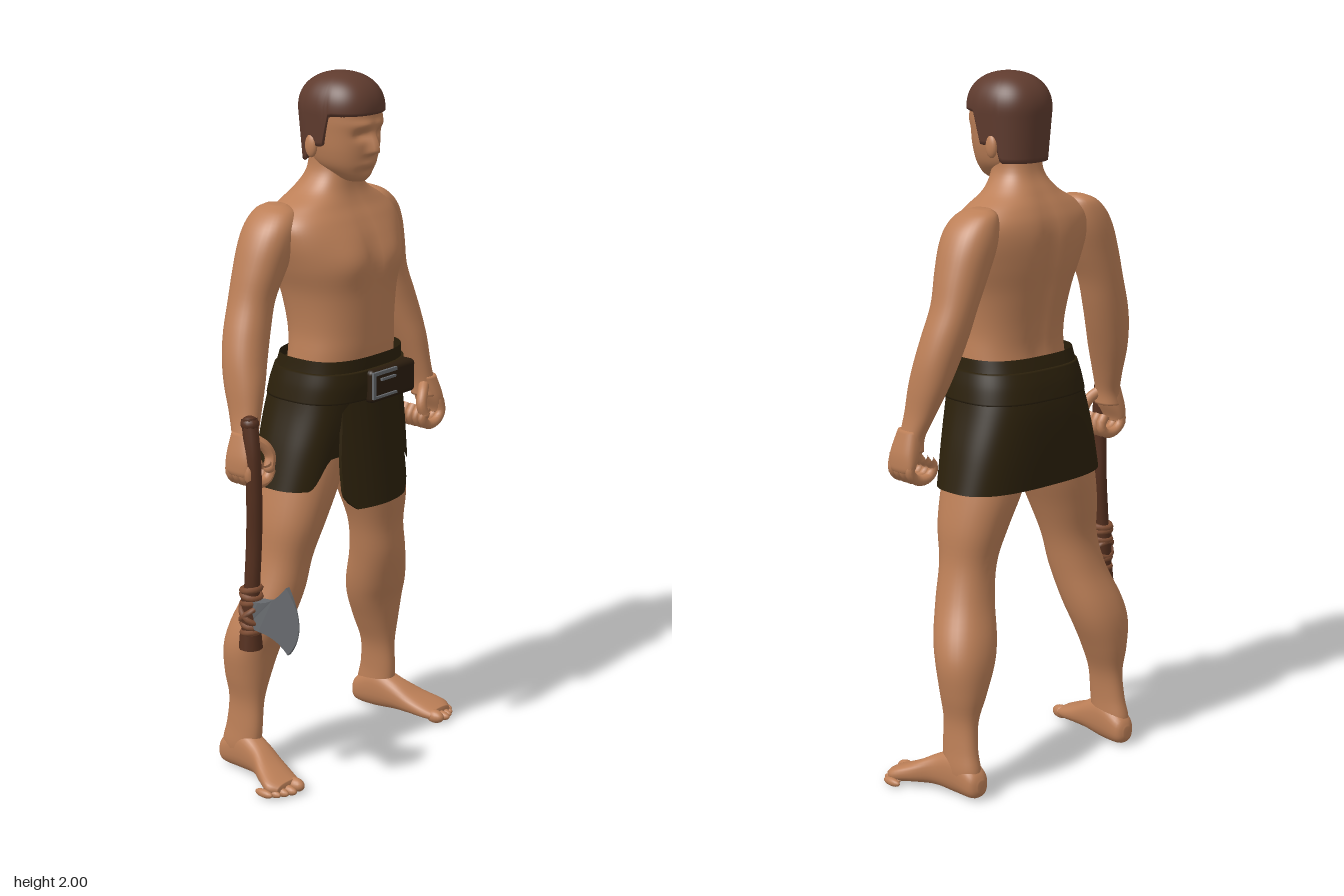
import * as THREE from 'three';
import { RoundedBoxGeometry } from 'three/addons/geometries/RoundedBoxGeometry.js';

const mat = (name, color, side = THREE.FrontSide) => {
  const m = new THREE.MeshStandardMaterial({ color, side });
  m.name = name;
  return m;
};
const gauss = (d, w) => Math.exp(-(d * d) / (w * w));
const spow = (c, n) => Math.sign(c) * Math.pow(Math.abs(c), 2 / n);
const lerp = THREE.MathUtils.lerp, smooth = THREE.MathUtils.smoothstep;

// Closed ring surface: fn(angle, v) gives a point; ends may be capped
function grid(nu, nv, fn, cap = true) {
  const pos = [], idx = [];
  for (let j = 0; j <= nv; j++)
    for (let i = 0; i < nu; i++) pos.push(...fn((i / nu) * Math.PI * 2, j / nv));
  for (let j = 0; j < nv; j++)
    for (let i = 0; i < nu; i++) {
      const a = j * nu + i, b = j * nu + ((i + 1) % nu);
      idx.push(a, b, b + nu, a, b + nu, a + nu);
    }
  if (cap) for (const j of [0, nv]) {
    const c = [0, 0, 0], k = pos.length / 3;
    for (let i = 0; i < nu; i++) for (let d = 0; d < 3; d++) c[d] += pos[(j * nu + i) * 3 + d] / nu;
    pos.push(...c);
    for (let i = 0; i < nu; i++) {
      const a = j * nu + i, b = j * nu + ((i + 1) % nu);
      idx.push(...(j ? [a, b, k] : [b, a, k]));
    }
  }
  const g = new THREE.BufferGeometry();
  g.setAttribute('position', new THREE.Float32BufferAttribute(pos, 3));
  g.setIndex(idx);
  g.computeVertexNormals();
  return g;
}

// Smooth value between section rows
function sample(rows, v) {
  const f = v * (rows.length - 1), i = Math.min(Math.floor(f), rows.length - 2), t = f - i;
  const at = k => rows[Math.max(0, Math.min(rows.length - 1, k))];
  return rows[0].map((_, c) => {
    const [p, q, r, s] = [at(i - 1)[c], at(i)[c], at(i + 1)[c], at(i + 2)[c]];
    return q + 0.5 * t * (r - p + t * (2 * p - 5 * q + 4 * r - s + t * (3 * (q - r) + s - p)));
  });
}

// Upright loft, rows are [y, xMin, xMax, zBack, zFront] from low to high
function loft(rows, { n = 2.3, nu = 32, nv = rows.length * 4, mod = p => p, cap = true } = {}) {
  return grid(nu, nv, (a, v) => {
    const [y, x0, x1, z0, z1] = sample(rows, v);
    return mod([(x0 + x1) / 2 + (x1 - x0) / 2 * spow(Math.cos(a), n), y,
      (z0 + z1) / 2 - (z1 - z0) / 2 * spow(Math.sin(a), n)], v);
  }, cap);
}
const sym = rows => rows.map(([y, w, b, f]) => [y, -w, w, b, f]);

function mirror(g) {
  const m = g.clone().scale(-1, 1, 1), ix = m.index.array;
  for (let i = 0; i < ix.length; i += 3) [ix[i], ix[i + 1]] = [ix[i + 1], ix[i]];
  m.computeVertexNormals();
  return m;
}
const V = (x, y, z) => new THREE.Vector3(x, y, z);
const tube = (pts, r, seg = 16, rad = 10) =>
  new THREE.TubeGeometry(new THREE.CatmullRomCurve3(pts), seg, r, rad);
const ball = (x, y, z, a, b, c) => new THREE.SphereGeometry(1, 16, 12).scale(a, b, c).translate(x, y, z);

export function createModel() {
  const skin = mat('skin', 0xbc7f57), hairMat = mat('hair', 0x5f3b2e);
  const hide = mat('hide', 0x2b200b, THREE.DoubleSide), leather = mat('leather', 0x2a1c0e);
  const wood = mat('wood', 0x55301f), cord = mat('cord', 0x7d4c32), steel = mat('steel', 0x676a6e);
  const model = new THREE.Group();
  const add = (name, g, m) => {
    const mesh = new THREE.Mesh(g, m);
    mesh.name = name;
    model.add(mesh);
    return mesh;
  };
  const pair = (name, g, m) => {
    add('left' + name, g, m);
    add('right' + name, mirror(g), m);
  };

  // Torso and neck, with chest muscles and a groove along the spine
  add('torso', loft(sym([
    [0.85, 0.09, -0.1, 0.04], [0.95, 0.16, -0.15, 0.08], [1.1, 0.17, -0.145, 0.1], [1.22, 0.163, -0.125, 0.12],
    [1.3, 0.158, -0.13, 0.125], [1.4, 0.172, -0.15, 0.128], [1.48, 0.2, -0.166, 0.128], [1.55, 0.22, -0.172, 0.108],
    [1.6, 0.218, -0.166, 0.083], [1.64, 0.175, -0.15, 0.058], [1.68, 0.108, -0.127, 0.042],
    [1.73, 0.07, -0.1, 0.036], [1.8, 0.066, -0.09, 0.03]]), {
    nu: 64, nv: 64, n: 2.35, mod: ([x, y, z]) => {
      if (z > 0) z += 0.012 * gauss(Math.abs(x) - 0.085, 0.06) * gauss(y - 1.5, 0.06) - 0.008 * gauss(x, 0.02) * gauss(y - 1.45, 0.16);
      else z += 0.018 * gauss(x, 0.03) * gauss(y - 1.42, 0.2);
      return [x, y, z];
    } }), skin);

  // Head with brow, eye sockets, nose, lips and chin
  add('head', loft(sym([
    [1.705, 0.022, 0.02, 0.078], [1.72, 0.045, -0.02, 0.09], [1.75, 0.07, -0.07, 0.1], [1.79, 0.083, -0.09, 0.108],
    [1.84, 0.09, -0.1, 0.113], [1.88, 0.094, -0.105, 0.115], [1.92, 0.093, -0.105, 0.11], [1.96, 0.07, -0.07, 0.08]]), {
    nu: 72, nv: 56, mod: ([x, y, z]) => {
      if (z > 0.03) {
        const ridge = smooth(y, 1.778, 1.792) * (1 - smooth(y, 1.79, 1.865));
        z += 0.03 * ridge * gauss(x, 0.015) + 0.006 * gauss(x, 0.03) * gauss(y - 1.755, 0.012);
        z += 0.007 * gauss(y - 1.866, 0.012) * gauss(Math.abs(x) - 0.03, 0.035);
        z -= 0.013 * gauss(Math.abs(x) - 0.036, 0.02) * gauss(y - 1.838, 0.014);
        z -= 0.005 * gauss(x, 0.03) * gauss(y - 1.738, 0.01);
      }
      return [x, y, z];
    } }), skin);
  pair('Ear', ball(0.094, 1.803, -0.028, 0.012, 0.032, 0.02), skin);

  // Hair cap with a high forehead line, sideburns and a low nape
  add('hair', grid(72, 28, (a, v) => {
    const c = spow(Math.cos(a), 2.3), s = -spow(Math.sin(a), 2.3), zd = s * 0.12;
    let low = lerp(1.805, 1.895, smooth(zd, 0.012, 0.04));
    low = lerp(low, 1.758, smooth(-zd, 0.045, 0.06));
    const y = lerp(low, 2, Math.sin(v * Math.PI / 2));
    const h = Math.max(0, (y - 1.9) / 0.1);
    const r = y > 1.9 ? Math.pow(Math.max(0, 1 - Math.pow(h, 2.2)), 1 / 2.2) : 1 - 0.1 * (1.9 - y) / 0.14;
    return [c * 0.105 * r, y, s * 0.121 * r];
  }), hairMat);

  // Arms
  pair('Arm', loft([
    [1.0, 0.352, 0.425, -0.055, 0.03], [1.04, 0.35, 0.412, -0.055, 0.022], [1.1, 0.33, 0.4, -0.078, 0.018],
    [1.18, 0.298, 0.396, -0.108, 0.012], [1.25, 0.27, 0.388, -0.125, 0.0], [1.32, 0.245, 0.37, -0.137, -0.01],
    [1.4, 0.218, 0.342, -0.145, -0.016], [1.48, 0.18, 0.322, -0.15, -0.004], [1.55, 0.15, 0.3, -0.153, 0.006],
    [1.6, 0.14, 0.273, -0.148, 0.004], [1.635, 0.145, 0.235, -0.135, -0.015], [1.65, 0.16, 0.2, -0.11, -0.05]],
  { nu: 32, nv: 48, n: 2.2 }), skin);

  // Half-closed hands: palm, four curled fingers and a thumb
  pair('Palm', loft([[0.945, 0.396, 0.426, -0.048, 0.03], [0.96, 0.392, 0.43, -0.056, 0.036],
    [1.0, 0.372, 0.428, -0.056, 0.036], [1.06, 0.352, 0.412, -0.05, 0.022]], { n: 2.8 }), skin);
  [-0.042, -0.018, 0.006, 0.028].forEach((z, i) => {
    pair('Finger' + (i + 1), tube([V(0.405, 0.99, z), V(0.412, 0.945, z), V(0.385, 0.92, z), V(0.345, 0.922, z),
      V(0.328, 0.948, z), V(0.345, 0.972, z)], 0.0145), skin);
  });
  pair('Thumb', tube([V(0.37, 1.04, 0), V(0.34, 1.015, 0.018), V(0.326, 0.985, 0.026), V(0.335, 0.955, 0.03)], 0.016), skin);
  pair('ThumbTip', ball(0.335, 0.955, 0.03, 0.016, 0.016, 0.016), skin);

  // Legs
  pair('Leg', loft([
    [0.03, 0.265, 0.33, -0.18, -0.06], [0.08, 0.262, 0.335, -0.186, -0.055], [0.14, 0.262, 0.33, -0.172, -0.05],
    [0.22, 0.252, 0.328, -0.165, -0.05], [0.3, 0.22, 0.343, -0.177, -0.04], [0.38, 0.185, 0.352, -0.18, -0.025],
    [0.45, 0.163, 0.34, -0.168, 0.0], [0.55, 0.143, 0.302, -0.135, 0.028], [0.65, 0.122, 0.276, -0.122, 0.04],
    [0.75, 0.085, 0.268, -0.14, 0.065], [0.85, 0.04, 0.248, -0.157, 0.08], [0.95, 0.005, 0.222, -0.16, 0.085],
    [1.05, 0.005, 0.18, -0.14, 0.08]], { nu: 32, nv: 56, n: 2.2 }), skin);

  // Feet, rows are [z, xMin, xMax, yMin, yMax] from heel to toes
  const footRows = [[-0.197, 0.28, 0.308, 0.025, 0.06], [-0.178, 0.26, 0.33, 0.006, 0.09], [-0.11, 0.258, 0.336, 0.004, 0.13],
    [-0.04, 0.265, 0.348, 0.01, 0.105], [0.02, 0.274, 0.38, 0.008, 0.072], [0.07, 0.285, 0.402, 0.004, 0.05],
    [0.1, 0.295, 0.385, 0.006, 0.038]];
  pair('Foot', grid(28, 32, (a, v) => {
    const [z, x0, x1, y0, y1] = sample(footRows, v);
    return [(x0 + x1) / 2 + (x1 - x0) / 2 * spow(Math.cos(a), 2.4), (y0 + y1) / 2 + (y1 - y0) / 2 * spow(Math.sin(a), 2.4), z];
  }), skin);
  [[0.314, 0.1, 0.02], [0.344, 0.1, 0.014], [0.366, 0.09, 0.013], [0.386, 0.078, 0.012], [0.403, 0.062, 0.012]].forEach(([x, z, r], i) =>
    pair('Toe' + (i + 1), ball(x, r, z, r, r, 0.032), skin));

  // Hide skirt, cut away at the front
  const skirtRows = sym([[0.86, 0.262, -0.176, 0.1], [0.97, 0.236, -0.18, 0.112], [1.08, 0.205, -0.176, 0.122],
    [1.17, 0.185, -0.155, 0.13], [1.225, 0.178, -0.138, 0.13]]);
  add('skirt', loft(skirtRows, { nu: 96, nv: 24, n: 2.8, cap: false, mod: ([x, y, z], v) => {
    const cut = z > 0.03 ? 0.085 * (1 - smooth(Math.abs(x), 0.14, 0.215)) : 0;
    return [x, y + cut * Math.max(0, 1 - v * 1.6), z];
  } }), hide);

  // Front flap, leaning forward and rounded at the bottom
  const flap = new THREE.BoxGeometry(1, 0.36, 0.01, 20, 20, 1), fp = flap.attributes.position;
  for (let i = 0; i < fp.count; i++) {
    const y = fp.getY(i) + 0.98, d = Math.max(0, 0.85 - y) / 0.05;
    const x = fp.getX(i) * 2 * lerp(0.135, 0.12, smooth(y, 0.9, 1.1)) * (1 - 0.25 * d * d);
    fp.setXYZ(i, x, y, fp.getZ(i) + 0.128 + (1.12 - y) * 0.12 - 2.1 * x * x);
  }
  flap.computeVertexNormals();
  add('flap', flap, hide);

  // Belt, pouch and buckle
  add('belt', loft(sym([[1.105, 0.204, -0.177, 0.137], [1.15, 0.197, -0.168, 0.141], [1.19, 0.188, -0.155, 0.138]]),
    { nu: 72, n: 2.7 }), hide);
  add('pouch', new RoundedBoxGeometry(0.19, 0.095, 0.06, 3, 0.014).translate(0.045, 1.142, 0.127), leather);
  [[0.0, 1.18, 0.1, 0.01], [-0.045, 1.145, 0.01, 0.07], [0.0, 1.112, 0.1, 0.007], [0.015, 1.16, 0.06, 0.007]].forEach(([x, y, w, h], i) =>
    add('buckleBar' + (i + 1), new THREE.BoxGeometry(w, h, 0.008).translate(x, y, 0.159), steel));

  // Axe: crooked handle, cord bindings and tapered blade
  add('axeHandle', tube([V(-0.393, 1.105, 0.012), V(-0.4, 1.0, 0.03), V(-0.398, 0.88, 0.032), V(-0.394, 0.76, 0.026),
    V(-0.4, 0.62, 0.022), V(-0.398, 0.445, 0.012)], 0.022, 24, 8), wood);
  add('handleTop', ball(-0.393, 1.09, 0.014, 0.025, 0.022, 0.026), wood);
  add('handleEnd', new THREE.CylinderGeometry(0.03, 0.034, 0.045, 10).translate(-0.397, 0.462, 0.012), wood);
  add('axeSocket', new THREE.CylinderGeometry(0.03, 0.03, 0.1, 10).translate(-0.398, 0.545, 0.018), wood);
  [0.492, 0.512, 0.578, 0.598, 0.616].forEach((y, i) => add('cordWrap' + (i + 1),
    new THREE.TorusGeometry(0.026, 0.009, 6, 16).rotateX(Math.PI / 2 + (i % 2 ? 0.18 : -0.18)).translate(-0.398, y, 0.017), cord));
  [-1, 1].forEach((s, i) => add('crossCord' + (i + 1),
    new THREE.TorusGeometry(0.036, 0.008, 6, 16).rotateX(Math.PI / 2 + s * 0.7).translate(-0.398, 0.545, 0.02), cord));
  const blade = new THREE.Shape();
  blade.moveTo(0.015, 0.51);
  blade.lineTo(0.06, 0.505);
  blade.quadraticCurveTo(0.12, 0.5, 0.157, 0.457);
  blade.quadraticCurveTo(0.235, 0.545, 0.153, 0.653);
  blade.quadraticCurveTo(0.11, 0.595, 0.06, 0.59);
  blade.lineTo(0.015, 0.585);
  const bg = new THREE.ExtrudeGeometry(blade, { depth: 0.04, bevelEnabled: false, curveSegments: 10 })
    .translate(0, 0, -0.02).rotateY(-Math.PI / 2);
  const bp = bg.attributes.position;
  for (let i = 0; i < bp.count; i++) bp.setX(i, bp.getX(i) * Math.max(0.06, Math.min(1, (0.2 - bp.getZ(i)) / 0.14)));
  bg.translate(-0.398, 0, 0).computeVertexNormals();
  add('axeBlade', bg, steel);

  return model;
}
